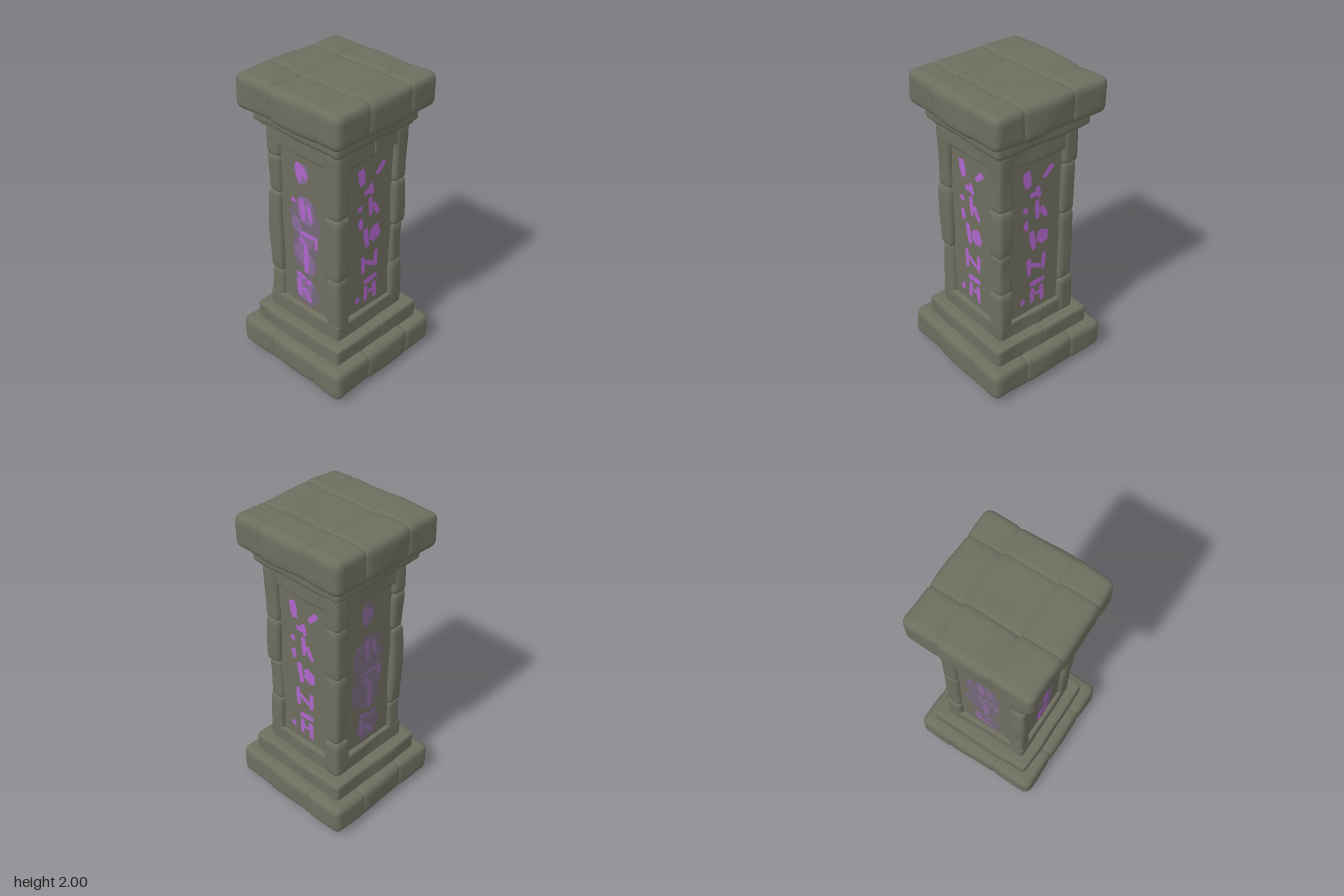
import * as THREE from 'three';
import { mergeVertices } from 'three/addons/utils/BufferGeometryUtils.js';

const material = (name, color) => {
  const m = new THREE.MeshStandardMaterial({ color });
  m.name = name;
  return m;
};
const stone = material('mossy stone', 0x6d6d5f);
const paint = material('violet paint', 0xb067cc);
const faded = material('faded violet paint', 0x8a6a98);
const stain = material('dusky violet stain', 0x75687a);

let seed = 7;
const jitter = (a) => {
  seed = (seed * 16807) % 2147483647;
  return (seed / 2147483647 - 0.5) * 2 * a;
};

// Gentle hand-carved unevenness, continuous through space
const lump = (x, y, z) =>
  Math.sin(9 * x + 5 * y + 1) * Math.sin(8 * z - 6 * y) * 0.6 + Math.sin(17 * x - 13 * z + 11 * y) * 0.4;

// Rounded stone block spanning min..max, with vertices crowded toward its edges
function block(name, min, max, r, lumpiness = 0.007, seg = 10) {
  const h = min.map((v, i) => (max[i] - v) / 2);
  const c = min.map((v, i) => (max[i] + v) / 2);
  const rad = Math.min(r, ...h);
  let g = new THREE.BoxGeometry(2, 2, 2, seg, seg, seg);
  g.deleteAttribute('normal');
  g.deleteAttribute('uv');
  g.clearGroups();
  g = mergeVertices(g);
  const pos = g.attributes.position;
  const p = new THREE.Vector3();
  const inner = new THREE.Vector3();
  for (let i = 0; i < pos.count; i++) {
    p.fromBufferAttribute(pos, i);
    const q = p.toArray().map((t, k) => Math.sign(t) * Math.pow(Math.abs(t), 0.55) * h[k]);
    p.fromArray(q);
    inner.fromArray(q.map((v, k) => THREE.MathUtils.clamp(v, rad - h[k], h[k] - rad)));
    const dir = p.clone().sub(inner).normalize();
    const n = lump(p.x + c[0], p.y + c[1], p.z + c[2]) * lumpiness;
    p.copy(inner).addScaledVector(dir, rad + n);
    pos.setXYZ(i, p.x + c[0], p.y + c[1], p.z + c[2]);
  }
  g.computeVertexNormals();
  const m = new THREE.Mesh(g, stone);
  m.name = name;
  return m;
}

// Square slab split into a grid of fitted stones with shallow seams
function slab(name, half, y0, y1, xCuts, zCuts, r, sag = 0) {
  const group = new THREE.Group();
  group.name = name;
  const o = 0.024;
  const xs = [-half, ...xCuts, half];
  const zs = [-half, ...zCuts, half];
  for (let i = 0; i < xs.length - 1; i++) {
    for (let j = 0; j < zs.length - 1; j++) {
      const shift = (k) => (k === 0 || k === xs.length - 1 ? jitter(0.004) : (j - 1) * 0.015);
      const middle = i === 1 && j === 1;
      const edge = (k) => (k === 0 || k === zs.length - 1 ? jitter(0.004) : 0);
      group.add(block('stone', [
        xs[i] + shift(i) - (i ? o : 0), y0 - (middle ? sag : 0) + jitter(0.004), zs[j] + edge(j) - (j ? o : 0),
      ], [
        xs[i + 1] + shift(i + 1) + (i < xs.length - 2 ? o : 0), y1 - 0.004 + jitter(0.005),
        zs[j + 1] + edge(j + 1) + (j < zs.length - 2 ? o : 0),
      ], r));
    }
  }
  return group;
}

// Tapered brush stroke on a panel: from (x1, y1) to (x2, y2), width w
function strokeShape([x1, y1, x2, y2, w]) {
  const a = new THREE.Vector2(x1, y1);
  const d = new THREE.Vector2(x2 - x1, y2 - y1);
  const n = new THREE.Vector2(-d.y, d.x).normalize().multiplyScalar(w / 2);
  const at = (t, s) => a.clone().addScaledVector(d, t).addScaledVector(n, s);
  return new THREE.Shape([at(0, 0.8), at(0.05, -0.9), at(0.5, -1), at(1, -0.7), at(0.95, 0.8), at(0.4, 1)]);
}

// Ragged round patch centred on (x, y)
function blotShape([x, y, rx, ry]) {
  const pts = [];
  for (let i = 0; i < 14; i++) {
    const a = (i / 14) * Math.PI * 2;
    const k = 1 + jitter(0.2);
    pts.push(new THREE.Vector2(x + Math.cos(a) * rx * k, y + Math.sin(a) * ry * k));
  }
  return new THREE.Shape(pts);
}

// Abstract paint dabs for the crisp and the smudged panels
const crispStrokes = [
  [-0.085, 1.5, -0.065, 1.38, 0.06], [0.12, 1.48, 0.05, 1.41, 0.04], [-0.055, 1.32, 0.03, 1.33, 0.04],
  [0, 1.37, 0.02, 1.29, 0.035], [0.0, 1.28, 0.01, 1.14, 0.038], [0.03, 1.22, 0.08, 1.13, 0.04],
  [-0.04, 1.07, -0.015, 0.92, 0.045], [-0.055, 0.87, -0.05, 0.73, 0.038], [-0.035, 0.82, 0.045, 0.77, 0.035],
  [0.065, 0.87, 0.06, 0.74, 0.036], [-0.045, 0.66, 0.08, 0.67, 0.045], [-0.02, 0.63, -0.025, 0.51, 0.038],
  [0.05, 0.63, 0.06, 0.5, 0.04], [0.0, 0.57, 0.035, 0.575, 0.03],
];
const crispBlots = [
  [-0.085, 1.23, 0.02, 0.022], [-0.08, 1.12, 0.02, 0.04], [-0.1, 0.55, 0.02, 0.022], [0.05, 1.0, 0.048, 0.055],
];
const smudgedStrokes = [
  [-0.05, 1.5, -0.03, 1.37, 0.045], [-0.03, 1.48, 0.03, 1.41, 0.045], [-0.1, 1.24, -0.08, 1.21, 0.035],
  [-0.02, 1.26, -0.01, 1.1, 0.045], [0.03, 1.24, 0.06, 1.12, 0.035], [-0.05, 1.01, 0.1, 1.02, 0.035],
  [0.1, 1.03, 0.095, 0.94, 0.03], [-0.04, 0.97, 0.02, 0.92, 0.035], [0.01, 0.92, 0.01, 0.72, 0.045],
  [-0.08, 0.69, 0, 0.68, 0.04], [-0.06, 0.66, -0.05, 0.52, 0.045], [-0.02, 0.6, 0.05, 0.51, 0.04],
  [0.01, 0.64, 0.05, 0.68, 0.03],
];
const smudges = [
  [-0.02, 1.43, 0.055, 0.075], [0.01, 1.18, 0.075, 0.09], [-0.07, 1.06, 0.045, 0.06],
  [0.01, 0.97, 0.07, 0.05], [-0.04, 0.87, 0.065, 0.07], [0.03, 0.8, 0.05, 0.08], [-0.01, 0.6, 0.075, 0.1],
];
const haze = [[0, 1.12, 0.12, 0.16], [-0.01, 0.87, 0.12, 0.15], [0.01, 0.6, 0.11, 0.11]];

export function createModel() {
  const model = new THREE.Group();
  model.name = 'stonePillar';

  // Base and stepped plinth
  model.add(slab('baseSlab', 0.446, 0.018, 0.236, [-0.17, 0.2], [-0.2, 0.16], 0.05, 0.014));
  model.add(slab('plinthStep', 0.372, 0.2, 0.35, [0.03], [-0.04], 0.024));

  // Shaft core, whose faces are the recessed panels
  const core = new THREE.Mesh(new THREE.BoxGeometry(0.544, 1.4, 0.544), stone);
  core.name = 'shaftCore';
  core.position.y = 1;
  model.add(core);

  // Rails above and below the panels
  model.add(slab('lowerRail', 0.3, 0.32, 0.464, [-0.02], [0.05], 0.018));
  model.add(slab('upperRail', 0.297, 1.552, 1.69, [0.04], [-0.03], 0.018));

  // Corner posts of stacked stones
  const cuts = [[0.34, 0.64, 1.22, 1.48, 1.68], [0.34, 0.8, 1.24, 1.68], [0.34, 0.7, 0.98, 1.3, 1.68], [0.34, 0.6, 1.1, 1.45, 1.68]];
  [[-1, 1], [1, 1], [1, -1], [-1, -1]].forEach(([sx, sz], k) => {
    const post = new THREE.Group();
    post.name = 'cornerPost';
    for (let i = 0; i < cuts[k].length - 1; i++) {
      const out = 0.303 + jitter(0.006);
      const inn = 0.188 + jitter(0.003);
      post.add(block('cornerStone',
        [sx > 0 ? inn : -out, cuts[k][i] - 0.008, sz > 0 ? inn : -out],
        [sx > 0 ? out : -inn, cuts[k][i + 1] + 0.008, sz > 0 ? out : -inn], 0.034, 0.008));
    }
    model.add(post);
  });

  // Painted marks: crisp on the left and back panels, smudged on the front, worn on the right
  ['frontMarks', 'leftMarks', 'backMarks', 'rightMarks'].forEach((name, k) => {
    const marks = new THREE.Group();
    marks.name = name;
    const add = (label, shapes, mat, z) => {
      const m = new THREE.Mesh(new THREE.ShapeGeometry(shapes), mat);
      m.name = label;
      m.position.z = z;
      marks.add(m);
    };
    if (k === 1 || k === 2) {
      add('paintStrokes', [...crispStrokes.map(strokeShape), ...crispBlots.map(blotShape)], paint, 0.277);
    } else {
      add('paintHaze', haze.map(blotShape), stain, 0.2745);
      add('paintSmudges', smudges.map(blotShape), k ? stain : faded, 0.276);
      add('paintStrokes', smudgedStrokes.map(strokeShape), k ? faded : paint, 0.278);
    }
    marks.rotation.y = (k * Math.PI) / 2;
    model.add(marks);
  });

  // Neck mouldings and cap
  model.add(slab('neckLower', 0.322, 1.665, 1.73, [-0.05], [0.06], 0.02));
  model.add(slab('neckUpper', 0.345, 1.69, 1.8, [0.08], [-0.05], 0.022));
  model.add(slab('capSlab', 0.414, 1.768, 1.998, [-0.14, 0.225], [-0.185, 0.165], 0.05));
  return model;
}
